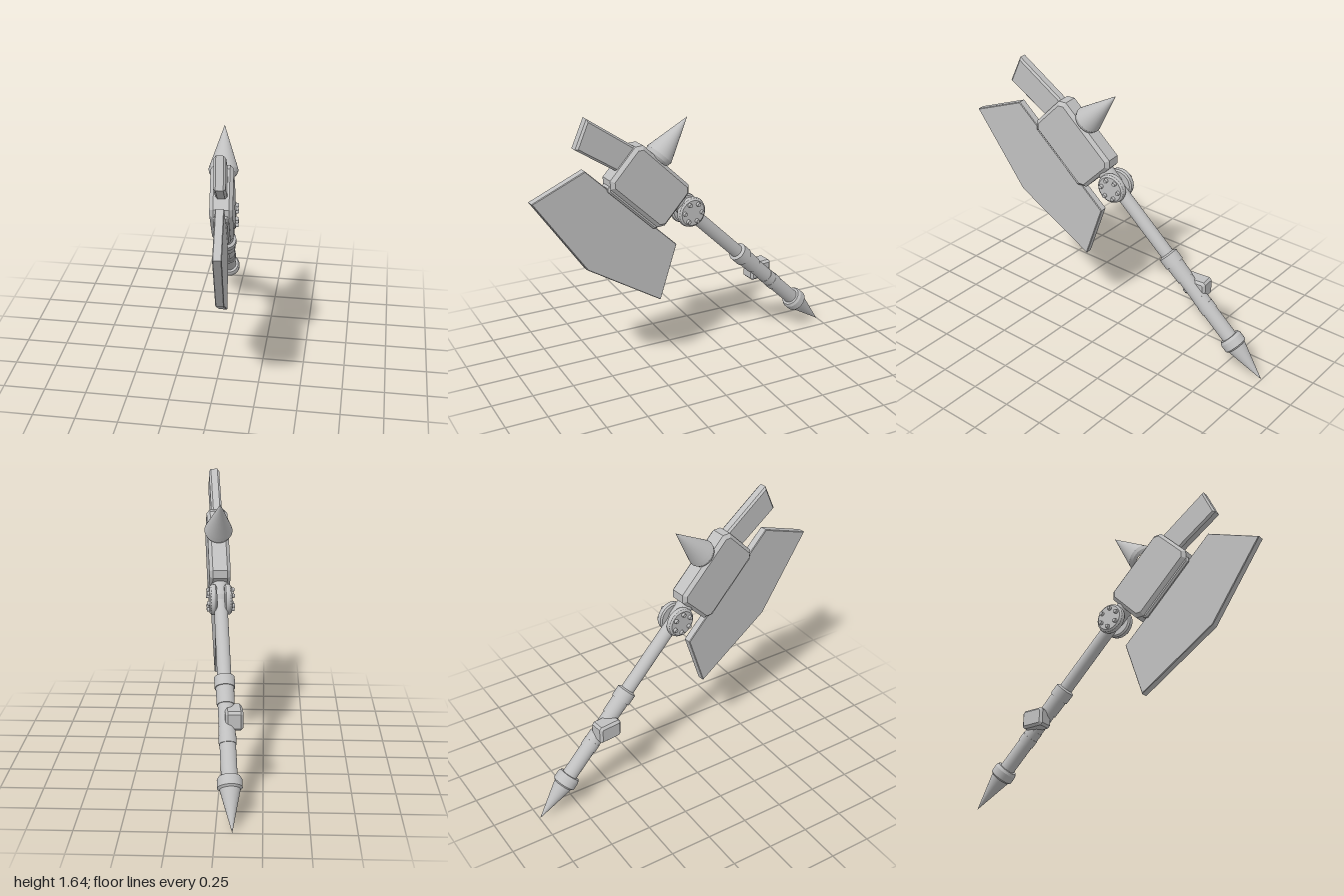
import * as THREE from 'three';

const steel = new THREE.MeshStandardMaterial({ color: 0xc0c0c0 });
steel.name = 'steel';

function add(parent, name, geometry, x = 0, y = 0, z = 0) {
  const mesh = new THREE.Mesh(geometry, steel);
  mesh.name = name;
  mesh.position.set(x, y, z);
  parent.add(mesh);
  return mesh;
}

// Plate outlined by [z, y] points, thick along x, with a bevelled rim
function plate(points, thickness, bevel) {
  const shape = new THREE.Shape(points.map(([z, y]) => new THREE.Vector2(z, y)));
  const geo = new THREE.ExtrudeGeometry(shape, {
    depth: thickness - 2 * bevel, bevelEnabled: bevel > 0,
    bevelThickness: bevel, bevelSize: bevel, bevelOffset: -bevel, bevelSegments: 1,
  });
  geo.translate(0, 0, -thickness / 2 + bevel);
  return geo.rotateY(-Math.PI / 2);
}

// Box with cut corners, centred on z and y
function cutBox(z0, z1, y0, y1, c, thickness, bevel) {
  return plate([
    [z0 + c, y0], [z1 - c, y0], [z1, y0 + c], [z1, y1 - c],
    [z1 - c, y1], [z0 + c, y1], [z0, y1 - c], [z0, y0 + c],
  ], thickness, bevel);
}

// Turned part along y; each segment keeps its own normals so edges stay sharp
function turned(parent, name, profile, segments = 32) {
  const group = new THREE.Group();
  group.name = name;
  for (let i = 1; i < profile.length; i++) {
    const pair = [profile[i - 1], profile[i]].map(([r, y]) => new THREE.Vector2(r, y));
    add(group, name + 'Section', new THREE.LatheGeometry(pair, segments));
  }
  parent.add(group);
  return group;
}

export function createModel() {
  const model = new THREE.Group();
  model.name = 'battleAxe';

  // The axe leans forward and is turned slightly to its left
  const turn = new THREE.Group();
  turn.name = 'turnedAxe';
  turn.position.x = 0.01;
  turn.rotation.y = 0.1;
  model.add(turn);
  const axe = new THREE.Group();
  axe.name = 'leaningAxe';
  axe.position.z = -1.003;
  axe.rotation.x = 0.797;
  turn.add(axe);

  // Handle: y runs from the pommel tip to the head, +z is the blade side
  turned(axe, 'pommelSpike', [
    [0, 0], [0.057, 0.24], [0.069, 0.25], [0.069, 0.295], [0.06, 0.312], [0.04, 0.312],
  ]);
  turned(axe, 'handleShaft', [[0.045, 0.3], [0.045, 0.76], [0.04, 0.9], [0.04, 1.42]]);
  turned(axe, 'lowerBand', [[0.04, 0.5], [0.049, 0.5], [0.049, 0.55], [0.047, 0.55], [0.047, 0.6], [0.04, 0.6]]);
  turned(axe, 'upperCollar', [
    [0.04, 0.735], [0.05, 0.735], [0.052, 0.84], [0.058, 0.84], [0.058, 0.905], [0.038, 0.915],
  ]);

  // Grip block on the right side of the handle
  const block = cutBox(-0.073, 0.073, -0.056, 0.056, 0.014, 0.1, 0.014);
  add(turn, 'gripBlock', block, -0.04, 0.465, -0.535);

  // Joint: neck, two rounded discs and their rivets
  turned(axe, 'jointNeck', [[0.036, 1.38], [0.05, 1.42], [0.05, 1.53]]);
  for (const side of [-1, 1]) {
    const joint = new THREE.Group();
    joint.name = side < 0 ? 'rightJointDisc' : 'leftJointDisc';
    joint.position.y = 1.41;
    joint.rotation.z = -side * Math.PI / 2;
    axe.add(joint);
    const rim = [[0, 0.022], [0.078, 0.022], [0.088, 0.03], [0.091, 0.042], [0.087, 0.056], [0.076, 0.065], [0, 0.065]];
    turned(joint, 'disc', rim);
    for (let i = 0; i < 6; i++) {
      const a = (i + 0.35) * Math.PI / 3;
      add(joint, 'rivet', new THREE.CylinderGeometry(0.011, 0.014, 0.018, 8),
        Math.cos(a) * 0.058, 0.072, Math.sin(a) * 0.058);
    }
  }

  // Head block and the mounting plate on its blade side
  add(axe, 'headBlock', cutBox(-0.11, 0.192, 1.507, 1.99, 0.035, 0.125, 0.02));
  add(axe, 'bladeMount', cutBox(0.1, 0.212, 1.535, 1.965, 0.015, 0.085, 0.01));

  // Blade
  add(axe, 'blade', plate([
    [0.197, 1.34], [0.511, 1.189], [0.622, 1.74], [0.514, 2.288], [0.2, 2.144],
  ], 0.048, 0.004));

  // Slanted hammer bar on top of the head
  add(axe, 'hammerBar', plate([
    [-0.105, 1.8], [0.06, 1.8], [0.146, 2.273], [-0.021, 2.332],
  ], 0.064, 0.012));

  // Back spike, opposite the blade
  const spike = turned(axe, 'backSpike', [[0.06, 0], [0.076, 0.014], [0.083, 0.036], [0.076, 0.06], [0, 0.302]]);
  spike.position.set(0, 1.803, -0.1);
  spike.rotation.x = -Math.PI / 2;

  return model;
}
